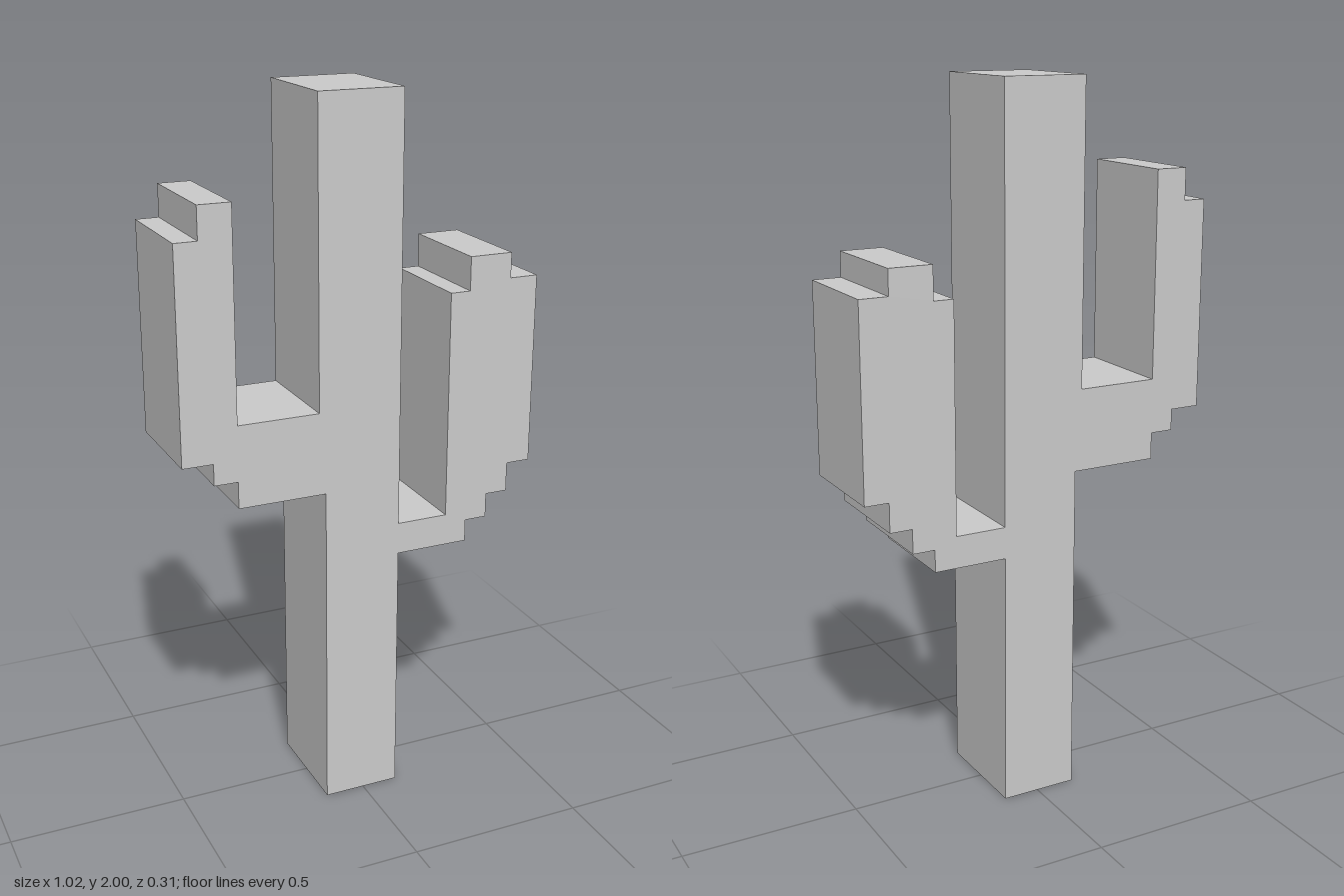
import * as THREE from 'three';

const DEPTH = 0.306;
const material = new THREE.MeshStandardMaterial({ color: 0xcccccc, flatShading: true });

// Extrude a stepped front outline to the common depth, centred on z = 0
function slab(name, outline) {
  const shape = new THREE.Shape(outline.map(([x, y]) => new THREE.Vector2(x, y)));
  const geometry = new THREE.ExtrudeGeometry(shape, { depth: DEPTH, bevelEnabled: false });
  geometry.translate(0, 0, -DEPTH / 2);
  const mesh = new THREE.Mesh(geometry, material);
  mesh.name = name;
  return mesh;
}

export function createModel() {
  const cactus = new THREE.Group();
  cactus.name = 'cactus';

  // Trunk, slightly wider above the right arm's underside
  cactus.add(slab('trunk', [
    [-0.114, 0], [0.104, 0], [0.104, 2], [-0.132, 2], [-0.132, 0.945], [-0.114, 0.945],
  ]));

  // Lower, thicker arm with a stepped elbow and a notched tip
  cactus.add(slab('leftArm', [
    [0.104, 0.73], [0.314, 0.73], [0.314, 0.793], [0.378, 0.793], [0.378, 0.862],
    [0.442, 0.862], [0.442, 0.945], [0.511, 0.945], [0.511, 1.48], [0.43, 1.48],
    [0.43, 1.55], [0.307, 1.55], [0.307, 1.457], [0.25, 1.457], [0.25, 0.82], [0.104, 0.82],
  ]));

  // Higher, slimmer arm on a thick branch
  cactus.add(slab('rightArm', [
    [-0.132, 0.945], [-0.132, 1.175], [-0.36, 1.175], [-0.36, 1.75], [-0.45, 1.75],
    [-0.45, 1.662], [-0.513, 1.662], [-0.513, 1.08], [-0.428, 1.08], [-0.428, 1.02],
    [-0.362, 1.02], [-0.362, 0.945],
  ]));

  return cactus;
}
